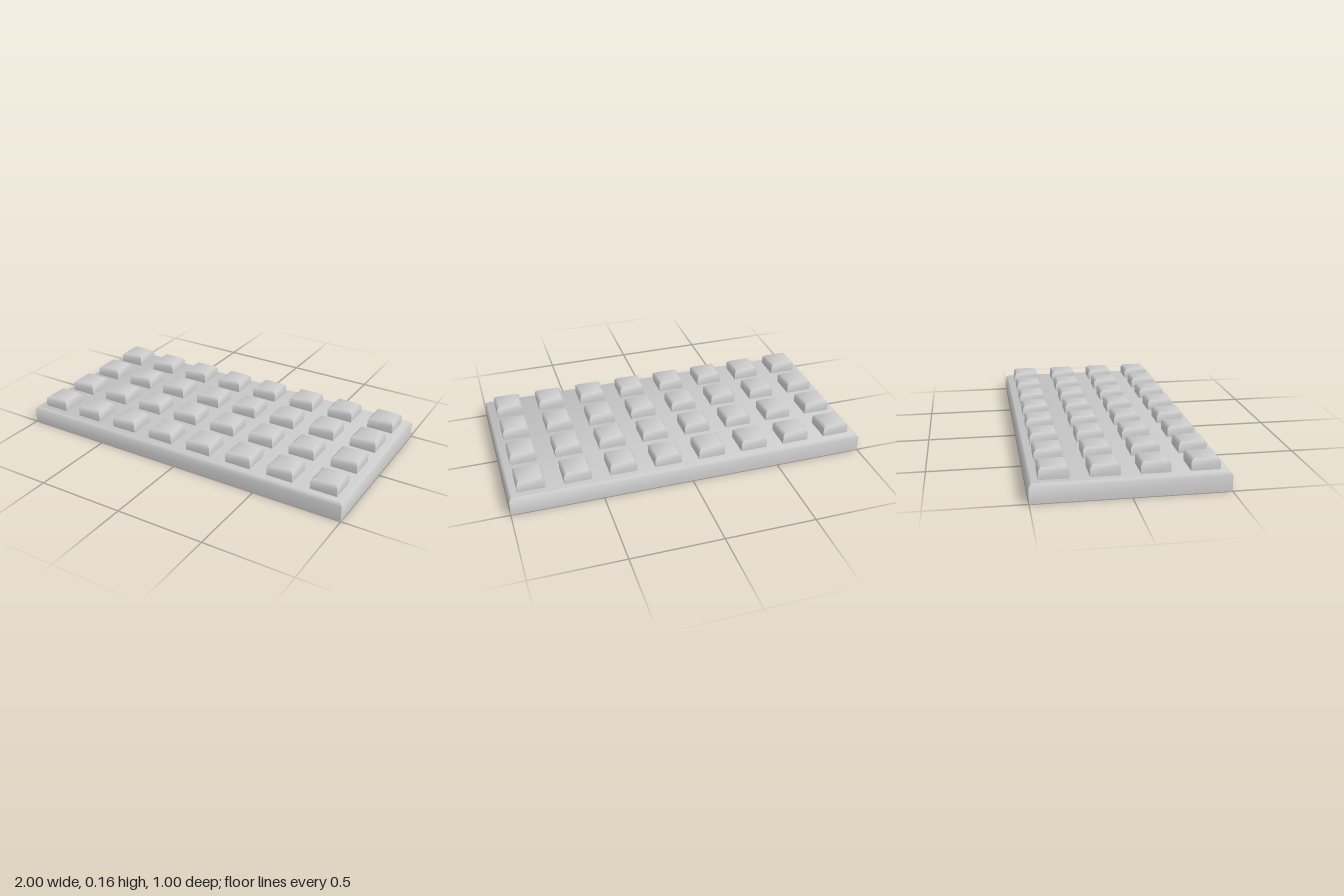
import * as THREE from 'three';
import { toCreasedNormals } from 'three/addons/utils/BufferGeometryUtils.js';

// Block standing on y = 0 with a chamfer around its top edge only
function chamferedBlock(width, height, depth, chamfer) {
  const rings = [[0, 0], [height - chamfer, 0], [height, chamfer]];
  const positions = [];
  for (const [y, inset] of rings) {
    const x = width / 2 - inset, z = depth / 2 - inset;
    positions.push(-x, y, z, x, y, z, x, y, -z, -x, y, -z);
  }
  const index = [0, 2, 1, 0, 3, 2, 8, 9, 10, 8, 10, 11];
  for (let r = 0; r < 2; r++) {
    for (let i = 0; i < 4; i++) {
      const a = r * 4 + i, b = r * 4 + (i + 1) % 4;
      index.push(a, b, b + 4, a, b + 4, a + 4);
    }
  }
  const geometry = new THREE.BufferGeometry();
  geometry.setAttribute('position', new THREE.Float32BufferAttribute(positions, 3));
  geometry.setIndex(index);
  return toCreasedNormals(geometry, THREE.MathUtils.degToRad(50));
}

export function createModel() {
  const model = new THREE.Group();
  model.name = 'studdedPlate';
  const material = new THREE.MeshStandardMaterial({ color: 0xcccccc });

  // Base plate
  const plate = new THREE.Mesh(chamferedBlock(2, 0.1, 1, 0.015), material);
  plate.name = 'basePlate';
  model.add(plate);

  // Grid of square studs, 8 by 4
  const studs = new THREE.Group();
  studs.name = 'studs';
  const studGeometry = chamferedBlock(0.15, 0.06, 0.15, 0.015);
  for (let column = 0; column < 8; column++) {
    for (let row = 0; row < 4; row++) {
      const stud = new THREE.Mesh(studGeometry, material);
      stud.name = 'stud';
      stud.position.set((column - 3.5) * 0.25, 0.1, (row - 1.5) * 0.25);
      studs.add(stud);
    }
  }
  model.add(studs);
  return model;
}
